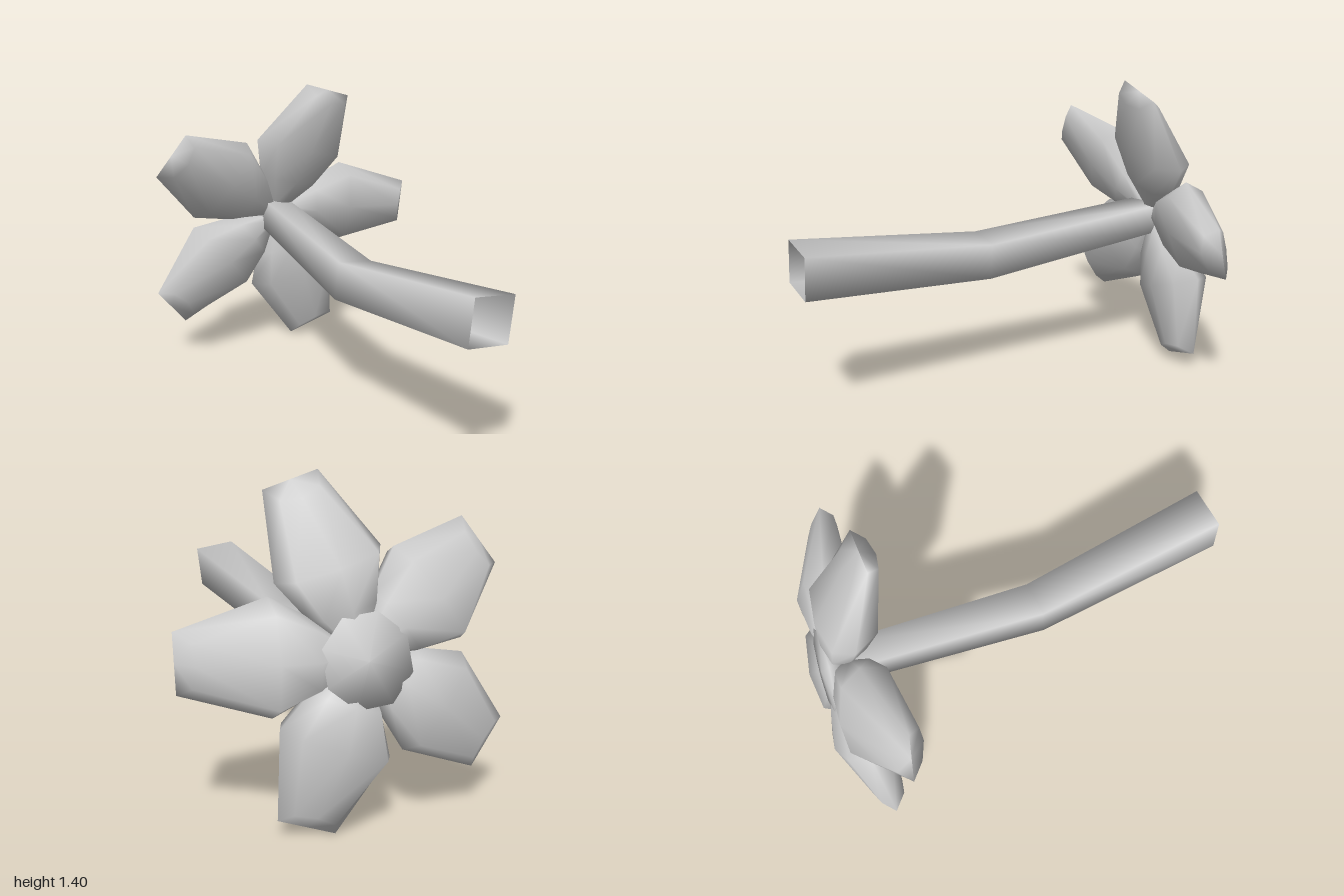
import * as THREE from 'three';

const material = new THREE.MeshStandardMaterial({ color: 0xcccccc, side: THREE.DoubleSide });

// Skin between rings of equal point count, with shared smooth normals
function loft(name, rings) {
  const n = rings[0].length, index = [];
  for (let r = 0; r < rings.length - 1; r++) {
    for (let k = 0; k < n; k++) {
      const a = r * n + k, b = r * n + (k + 1) % n;
      index.push(a, b, b + n, a, b + n, a + n);
    }
  }
  const geometry = new THREE.BufferGeometry();
  geometry.setAttribute('position', new THREE.Float32BufferAttribute(rings.flat(2), 3));
  geometry.setIndex(index);
  geometry.computeVertexNormals();
  const mesh = new THREE.Mesh(geometry, material);
  mesh.name = name;
  return mesh;
}

// The flower head leans: depth of its plane at a given x, y
const CENTRE = [-0.01, 0.71];
const lean = (x, y) => 0.104 * x + 0.22 * (y - 0.7);

// Eight-sided, slightly boxy petal section between side points a and b.
// inset pulls the front and back of the section towards the flower centre.
function petalRing(a, b, side, front, back, inset = 0) {
  return Array.from({ length: 8 }, (_, k) => {
    const boxy = k % 2 ? 1.08 : 1;
    const c = boxy * Math.cos(k * Math.PI / 4), s = boxy * Math.sin(k * Math.PI / 4);
    const [x, y] = [0, 1].map(i => {
      const p = (a[i] + b[i]) / 2 + c * (b[i] - a[i]) / 2;
      return p + (CENTRE[i] - p) * inset * Math.abs(s);
    });
    const z = side + (s > 0 ? s * (front - side) : -s * (back - side));
    return [x, y, z + lean(x, y)];
  });
}

function petal(a, b, tipA, tipB) {
  const mid = a.map((v, i) => (v + b[i]) / 2);
  const tip = tipA.map((v, i) => (v + tipB[i]) / 2);
  // Point a share t of the way out to the widest part, with the width scaled
  const inner = (p, t, width) => CENTRE.map((c, i) => c + t * (mid[i] - c + width * (p[i] - mid[i])));
  return loft('petal', [
    petalRing(inner(a, 0.16, 1.3), inner(b, 0.16, 1.3), -0.82, -0.76, -0.86),
    petalRing(inner(a, 0.52, 1.22), inner(b, 0.52, 1.22), -0.81, -0.7, -0.905),
    petalRing(a, b, -0.81, -0.66, -0.925),
    petalRing(tipA, tipB, -0.72, -0.645, -0.79, 0.09),
    petalRing(tip, tip, -0.72, -0.72, -0.72),
  ]);
}

export function createModel() {
  const model = new THREE.Group();
  model.name = 'flower';

  // Five petals: the two widest points, then the two tip corners
  const petals = new THREE.Group();
  petals.name = 'petals';
  [
    [[0.35, 0.505], [0.33, 0.955], [0.68, 0.595], [0.675, 0.83]],
    [[0.3, 1.0], [-0.14, 1.12], [0.28, 1.33], [0.05, 1.4]],
    [[-0.195, 1.11], [-0.45, 0.74], [-0.55, 1.195], [-0.685, 1.0]],
    [[-0.45, 0.685], [-0.165, 0.33], [-0.66, 0.375], [-0.51, 0.19]],
    [[-0.11, 0.31], [0.325, 0.46], [0.1, 0.0], [0.33, 0.08]],
  ].forEach(p => petals.add(petal(...p)));
  model.add(petals);

  // Nearly flat centre on the face of the flower
  const centre = loft('flowerCentre', [[0.001, -0.91], [0.19, -0.895], [0.1, -0.82]]
    .map(([r, z]) => Array.from({ length: 8 }, (_, k) => {
      const t = k * Math.PI / 4 + 0.3;
      const x = CENTRE[0] + r * Math.cos(t), y = CENTRE[1] + r * Math.sin(t);
      return [x, y, z + lean(x, y)];
    })));
  model.add(centre);

  // Bent hollow square stem, open at the cut end: x, y, z, corner radius
  const stem = loft('stem', [
    [-0.02, 0.715, -0.8, 0.1],
    [-0.12, 0.615, 0.1, 0.121],
    [-0.092, 0.7, 1, 0.142],
  ].map(([x, y, z, r]) => Array.from({ length: 4 }, (_, k) => {
    const t = k * Math.PI / 2 + Math.PI / 4 - 0.13;
    return [x + r * Math.cos(t), y + r * Math.sin(t), z];
  })));
  model.add(stem);

  return model;
}
